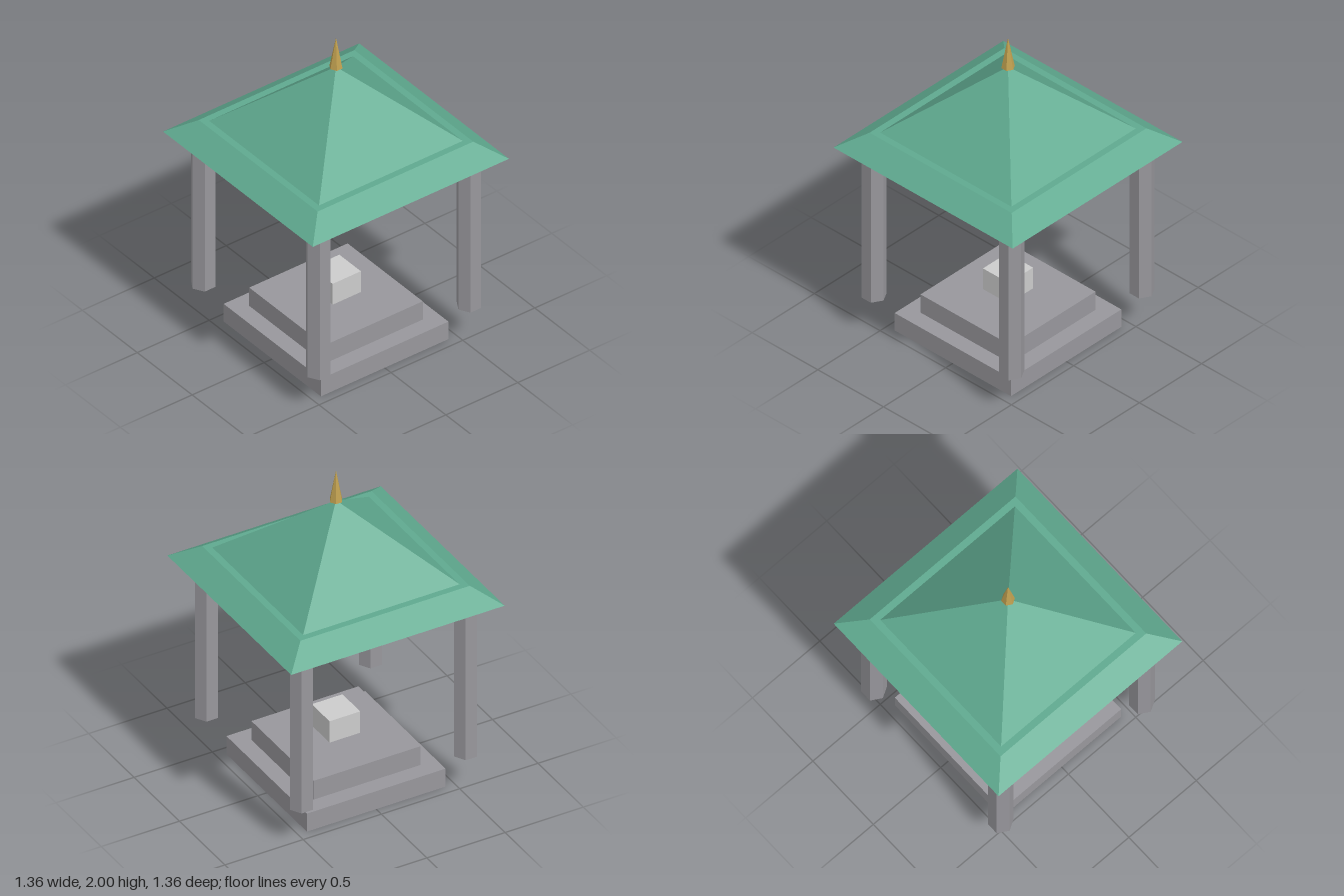
import * as THREE from 'three';

const mat = (color) => new THREE.MeshStandardMaterial({ color, flatShading: true });

export function createModel() {
  const model = new THREE.Group();
  model.name = 'pavilion';
  const stone = mat(0x98979c);
  const pale = mat(0xcccccc);
  const tile = mat(0x5fa98f);
  const gold = mat(0xc0a050);

  const add = (name, geometry, material, x, y, z) => {
    const mesh = new THREE.Mesh(geometry, material);
    mesh.name = name;
    mesh.position.set(x, y, z);
    model.add(mesh);
    return mesh;
  };

  // Square block, given its half width and vertical extent
  const block = (name, half, y0, y1, material) =>
    add(name, new THREE.BoxGeometry(half * 2, y1 - y0, half * 2), material, 0, (y0 + y1) / 2, 0);

  // Square frustum or pyramid with sides facing the axes
  const frustum = (name, topHalf, bottomHalf, y0, y1) => {
    const g = new THREE.CylinderGeometry(topHalf * Math.SQRT2, bottomHalf * Math.SQRT2, y1 - y0, 4);
    g.rotateY(Math.PI / 4);
    return add(name, g, tile, 0, (y0 + y1) / 2, 0);
  };

  // Stepped base and the small block hovering over it
  block('lowerStep', 0.443, 0, 0.12, stone);
  block('upperStep', 0.342, 0.12, 0.245, stone);
  block('altarBlock', 0.098, 0.275, 0.417, pale);

  // Four hexagonal columns
  const column = new THREE.CylinderGeometry(0.073, 0.073, 1.02, 6);
  for (const x of [-1, 1]) {
    for (const z of [-1, 1]) {
      const name = (z > 0 ? 'front' : 'back') + (x > 0 ? 'Left' : 'Right') + 'Column';
      add(name, column, stone, x * 0.524, 0.755, z * 0.524);
    }
  }

  // Two-tier roof and finial
  frustum('eaves', 0.541, 0.682, 1.265, 1.363);
  frustum('upperRoof', 0, 0.5, 1.363, 1.8);
  add('finial', new THREE.ConeGeometry(0.039, 0.2, 6), gold, 0, 1.9, 0);

  return model;
}
